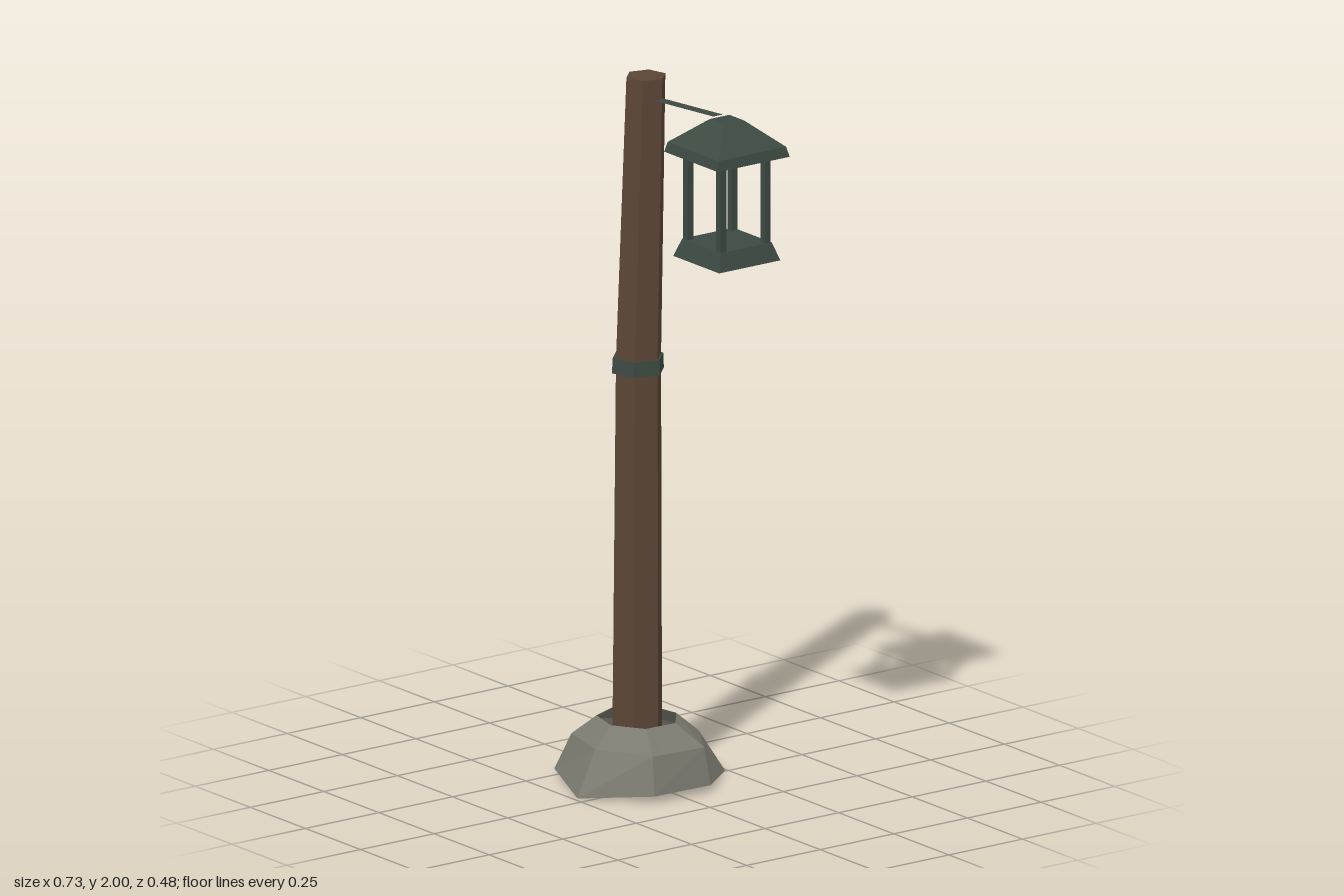
import * as THREE from 'three';

// Low-poly skin over stacked rings (lowest first); ring points [x, y, z] turn from +x towards +z
function loft(rings, capped = true) {
  const pos = [];
  const tri = (a, b, c) => pos.push(...a, ...b, ...c);
  const n = rings[0].length;
  const centre = (ring) => [0, 1, 2].map((k) => ring.reduce((s, p) => s + p[k], 0) / n);
  for (let r = 0; r < rings.length - 1; r++) {
    for (let i = 0; i < n; i++) {
      const j = (i + 1) % n;
      const lo = rings[r], hi = rings[r + 1];
      tri(lo[i], hi[i], lo[j]);
      tri(lo[j], hi[i], hi[j]);
    }
  }
  if (capped) {
    const lo = rings[0], hi = rings[rings.length - 1];
    const cl = centre(lo), ch = centre(hi);
    for (let i = 0; i < n; i++) {
      const j = (i + 1) % n;
      tri(cl, lo[i], lo[j]);
      tri(ch, hi[j], hi[i]);
    }
  }
  const g = new THREE.BufferGeometry();
  g.setAttribute('position', new THREE.Float32BufferAttribute(pos, 3));
  g.computeVertexNormals();
  return g;
}

// Regular ring around (cx, cz)
function ring(cx, y, cz, radius, sides, turn) {
  return Array.from({ length: sides }, (_, i) => {
    const a = turn + (i / sides) * Math.PI * 2;
    return [cx + Math.cos(a) * radius, y, cz + Math.sin(a) * radius];
  });
}

export function createModel() {
  const wood = new THREE.MeshStandardMaterial({ color: 0x5b4636 });
  wood.name = 'wood';
  const stone = new THREE.MeshStandardMaterial({ color: 0x7a7a70, side: THREE.DoubleSide });
  stone.name = 'stone';
  const metal = new THREE.MeshStandardMaterial({ color: 0x3c4a42, side: THREE.DoubleSide });
  metal.name = 'dark metal';

  const model = new THREE.Group();
  model.name = 'lampPost';
  const add = (name, geometry, material, parent = model) => {
    const mesh = new THREE.Mesh(geometry, material);
    mesh.name = name;
    parent.add(mesh);
    return mesh;
  };

  // Rough stone footing: an open seven-sided shell
  const footing = [
    [[0.136, 0.02, -0.088], [0.132, 0.02, 0.1], [-0.033, 0, 0.238], [-0.245, 0.02, 0.158],
      [-0.363, 0, -0.017], [-0.226, 0.02, -0.181], [-0.006, 0, -0.243]],
    [[0.11, 0.122, -0.085], [0.1, 0.122, 0.082], [-0.05, 0.122, 0.165], [-0.212, 0.122, 0.125],
      [-0.29, 0.122, -0.014], [-0.195, 0.122, -0.146], [-0.03, 0.122, -0.171]],
    [[0.027, 0.177, -0.05], [0.023, 0.177, 0.049], [-0.062, 0.177, 0.103], [-0.161, 0.177, 0.078],
      [-0.2, 0.177, -0.012], [-0.152, 0.177, -0.093], [-0.05, 0.177, -0.11]],
  ];
  add('stoneFooting', loft(footing, false), stone);

  // Slightly bent, tapering hexagonal pole
  const turn = -0.26;
  add('pole', loft([
    ring(-0.083, 0.07, -0.002, 0.073, 6, turn),
    ring(-0.078, 1.2, -0.003, 0.066, 6, turn),
    ring(-0.062, 2, -0.016, 0.057, 6, turn),
  ]), wood);

  // Metal band round the pole
  add('poleBand', loft([
    ring(-0.082, 1.16, -0.004, 0.076, 6, turn),
    ring(-0.082, 1.203, -0.004, 0.074, 6, turn),
  ]), metal);

  // Flat strip holding the lantern
  const arm = new THREE.Shape([[-0.05, -0.03], [-0.05, 0.003], [0.208, -0.043], [0.208, -0.076]]
    .map(([x, z]) => new THREE.Vector2(x, -z)));
  const armGeometry = new THREE.ShapeGeometry(arm);
  armGeometry.rotateX(-Math.PI / 2);
  add('arm', armGeometry, metal).position.y = 1.943;

  // Square lantern
  const lantern = new THREE.Group();
  lantern.name = 'lantern';
  lantern.position.set(0.24, 0, -0.065);
  model.add(lantern);
  const square = (y, half) => ring(0, y, 0, half * Math.SQRT2, 4, Math.PI / 4);

  add('lanternRoof', loft([square(1.84, 0.122), square(1.868, 0.115), square(1.938, 0.033)]), metal, lantern);
  add('lanternBase', loft([square(1.545, 0.104), square(1.595, 0.087)]), metal, lantern);
  for (const sx of [-1, 1]) {
    for (const sz of [-1, 1]) {
      const post = add('lanternPost', new THREE.BoxGeometry(0.02, 0.255, 0.02), metal, lantern);
      post.position.set(sx * 0.075, 1.718, sz * 0.075);
    }
  }
  return model;
}
